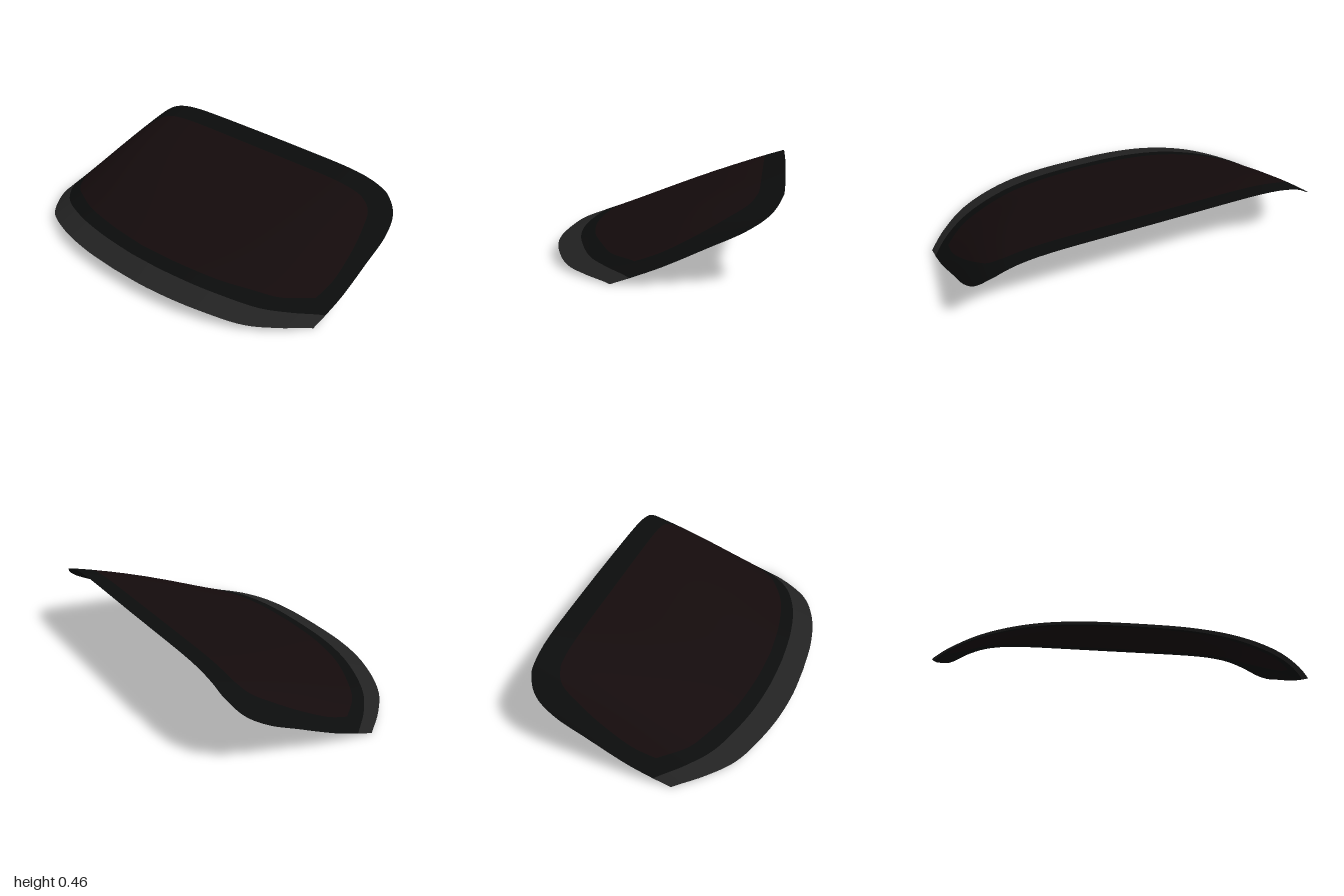
import * as THREE from 'three';

// Curved height field shared by all parts: sloping spine, sides falling away
function height(x, z) {
  const p = 3 + 4.3 * THREE.MathUtils.smoothstep(x, -0.4, 0.6);
  return 0.27 + 0.329 * x - 0.035 * x * x - 0.21 * Math.pow(Math.abs(z), p);
}

const spline = (pts, n) =>
  new THREE.SplineCurve(pts.map(([x, z]) => new THREE.Vector2(x, z))).getPoints(n);

// Half outline from lower middle round the corner to upper middle, mirrored to a closed loop
function outline(lower, side) {
  const half = [...spline(lower, 30), ...spline(side, 56).slice(1)];
  const other = half.slice(0, -1).reverse().map((p) => new THREE.Vector2(p.x, -p.y));
  return [...half, ...other];
}

// Lower edge from one end (-z) to the other (+z)
function edge(pts) {
  const half = spline(pts, 30);
  const other = half.slice(1).reverse().map((p) => new THREE.Vector2(p.x, -p.y));
  return [...other, ...half];
}

// Surface between two matching plan curves, draped over the height field
function drape(name, from, to, steps, color) {
  const pos = [], nor = [], idx = [], n = from.length, e = 0.002;
  for (let j = 0; j <= steps; j++) {
    for (let i = 0; i < n; i++) {
      const q = from[i].clone().lerp(to[i], j / steps);
      pos.push(q.x, height(q.x, q.y), q.y);
      const normal = new THREE.Vector3(
        height(q.x - e, q.y) - height(q.x + e, q.y), 2 * e,
        height(q.x, q.y - e) - height(q.x, q.y + e)).normalize();
      nor.push(normal.x, normal.y, normal.z);
      if (j < steps && i < n - 1) {
        const a = j * n + i, b = a + n;
        idx.push(a, a + 1, b, a + 1, b + 1, b);
      }
    }
  }
  const geo = new THREE.BufferGeometry();
  geo.setAttribute('position', new THREE.Float32BufferAttribute(pos, 3));
  geo.setAttribute('normal', new THREE.Float32BufferAttribute(nor, 3));
  geo.setIndex(idx);
  const mesh = new THREE.Mesh(geo,
    new THREE.MeshStandardMaterial({ color, side: THREE.DoubleSide }));
  mesh.name = name;
  return mesh;
}

export function createModel() {
  const group = new THREE.Group();
  group.name = 'windscreen';

  // Plan curves as [x, z], half of each
  const lowerEdge = [[-0.48, 0], [-0.468, 0.25], [-0.425, 0.5], [-0.335, 0.74], [-0.22, 0.89], [-0.09, 1]];
  const stripEdge = [[-0.6, 0], [-0.59, 0.25], [-0.545, 0.5], [-0.45, 0.74], [-0.32, 0.89], [-0.18, 1]];
  const sideEdge = [[-0.09, 1], [0.05, 0.995], [0.25, 0.977], [0.42, 0.96], [0.53, 0.925],
    [0.58, 0.86], [0.594, 0.77], [0.598, 0.4], [0.6, 0]];
  const glassLower = [[-0.41, 0], [-0.395, 0.25], [-0.35, 0.5], [-0.27, 0.7], [-0.2, 0.82], [-0.08, 0.925]];
  const glassSide = [[-0.08, 0.925], [0.05, 0.93], [0.22, 0.905], [0.35, 0.87], [0.43, 0.835],
    [0.465, 0.78], [0.478, 0.7], [0.48, 0.4], [0.48, 0]];

  const outer = outline(lowerEdge, sideEdge);
  const inner = outline(glassLower, glassSide);
  const centre = inner.map((p) => new THREE.Vector2(0.05, p.y * 0.001));

  group.add(
    drape('lowerStrip', edge(stripEdge), edge(lowerEdge), 4, 0x222222),
    drape('blackBorder', outer, inner, 6, 0x0b0c0c),
    drape('tintedGlass', inner, centre, 20, 0x140b0c),
  );
  return group;
}
